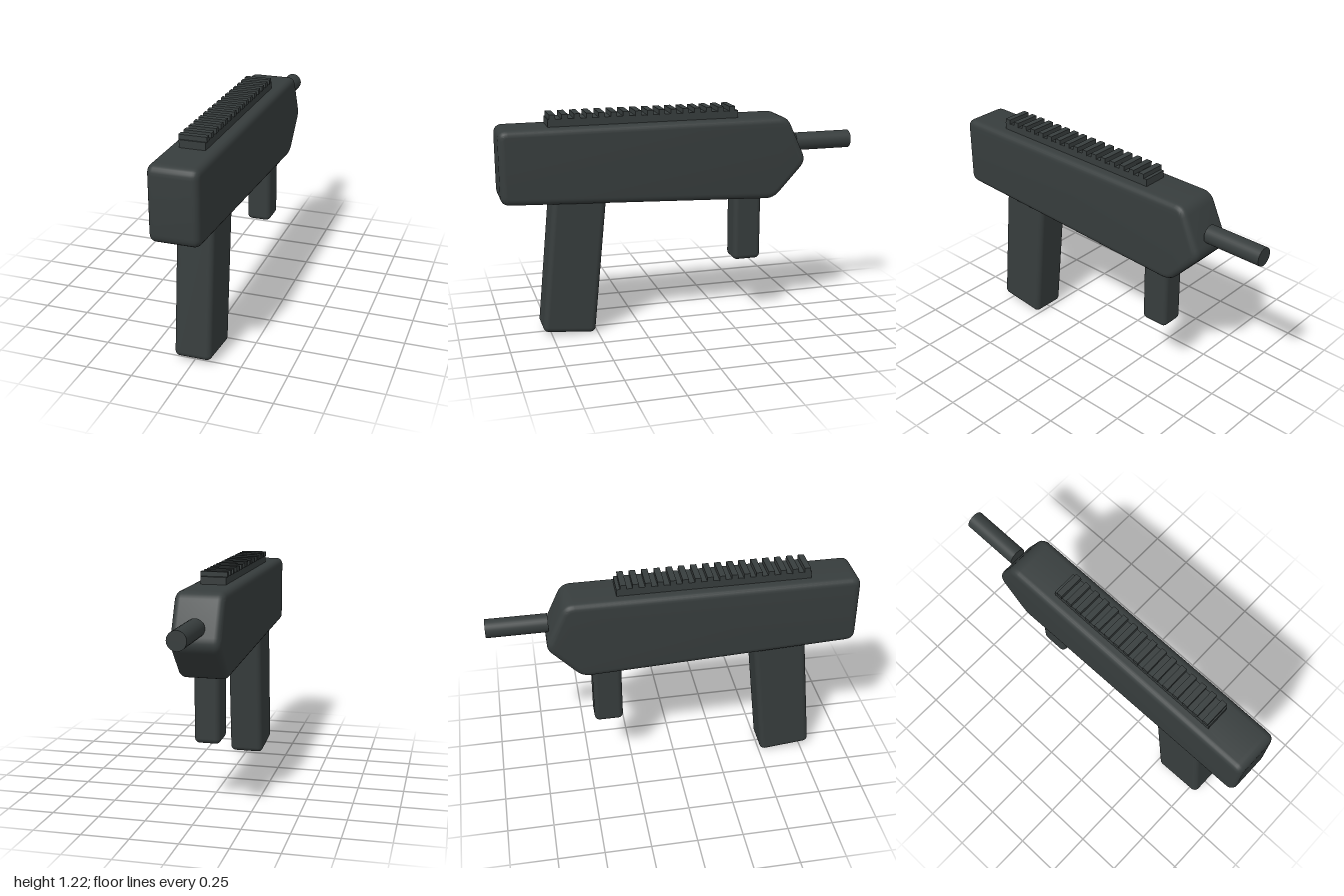
import * as THREE from 'three';
import { RoundedBoxGeometry } from 'three/addons/geometries/RoundedBoxGeometry.js';
import { toCreasedNormals } from 'three/addons/utils/BufferGeometryUtils.js';

const darkMetal = new THREE.MeshStandardMaterial({ color: 0x373d3d });
darkMetal.name = 'darkMetal';

function part(name, geometry, x, y, z) {
  const mesh = new THREE.Mesh(geometry, darkMetal);
  mesh.name = name;
  mesh.position.set(x, y, z);
  return mesh;
}

// Closed polygon with every corner softened by a curve starting `cut` away from it
function softPolygon(points, cut) {
  const shape = new THREE.Shape();
  const p = points.map(([a, b]) => new THREE.Vector2(a, b));
  p.forEach((corner, i) => {
    const toward = (q) => q.clone().sub(corner).setLength(cut).add(corner);
    const start = toward(p[(i + p.length - 1) % p.length]);
    const end = toward(p[(i + 1) % p.length]);
    if (i === 0) shape.moveTo(start.x, start.y);
    else shape.lineTo(start.x, start.y);
    shape.quadraticCurveTo(corner.x, corner.y, end.x, end.y);
  });
  shape.closePath();
  return shape;
}

// Side profile (z, y) extruded across x, with rounded edges
function bodyGeometry() {
  const bevel = 0.034, width = 0.26;
  const profile = softPolygon([
    [1.0, 0.765], [1.0, 1.16], [-0.585, 1.16], [-0.703, 0.905], [-0.515, 0.7],
  ], 0.05);
  const geometry = new THREE.ExtrudeGeometry(profile, {
    depth: width - 2 * bevel, steps: 1, curveSegments: 6,
    bevelEnabled: true, bevelThickness: bevel, bevelSize: bevel,
    bevelOffset: -bevel, bevelSegments: 5,
  });
  geometry.translate(0, 0, -(width / 2 - bevel));
  geometry.rotateY(-Math.PI / 2);
  return toCreasedNormals(geometry, 0.6);
}

export function createModel() {
  const model = new THREE.Group();
  model.name = 'model';

  model.add(part('body', bodyGeometry(), 0, 0, 0));

  // Tilted rear grip
  const grip = part('rearGrip', new RoundedBoxGeometry(0.2, 0.8, 0.29, 4, 0.03), 0, 0.414, 0.616);
  grip.rotation.x = -0.1;
  model.add(grip);

  // Short upright fore grip
  model.add(part('foreGrip', new RoundedBoxGeometry(0.14, 0.48, 0.16, 4, 0.028), 0, 0.58, -0.377));

  // Barrel
  const barrel = new THREE.CylinderGeometry(0.05, 0.05, 0.328, 32);
  barrel.rotateX(Math.PI / 2);
  model.add(part('barrel', barrel, 0, 0.995, -0.836));

  // Top rail with evenly spaced cross ridges
  const rail = new THREE.Group();
  rail.name = 'topRail';
  rail.add(part('railBase', new THREE.BoxGeometry(0.136, 0.05, 1.045), 0, 1.175, 0.2125));
  const ridge = new THREE.BoxGeometry(0.144, 0.027, 0.033);
  for (let i = 0; i < 16; i++) {
    rail.add(part('railRidge', ridge, 0, 1.2115, 0.711 - i * 0.0657));
  }
  model.add(rail);

  return model;
}
